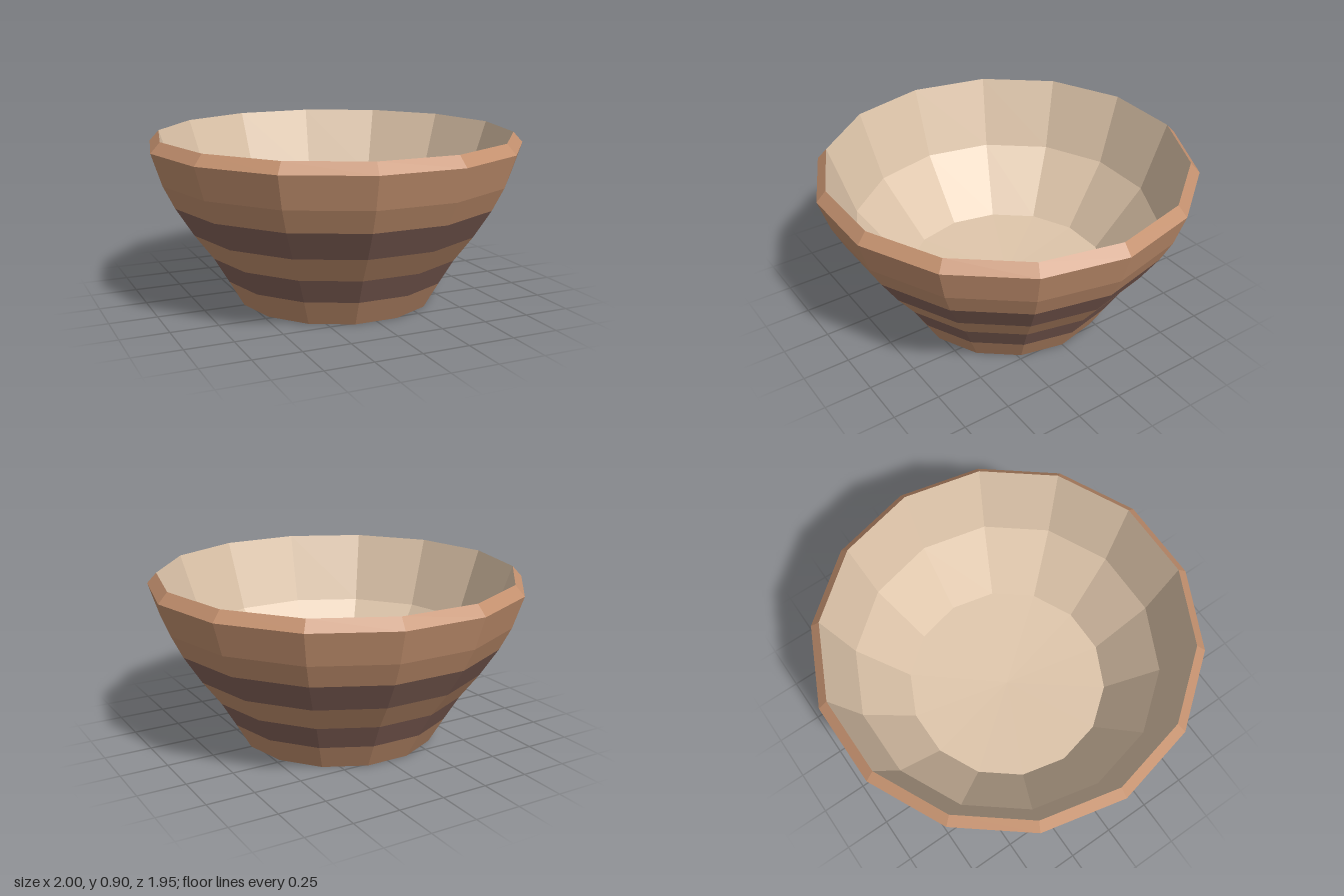
import * as THREE from 'three';

const SIDES = 14;
const clay = new THREE.MeshStandardMaterial({ color: 0xc4916f, flatShading: true });
const dark = new THREE.MeshStandardMaterial({ color: 0x86645a, flatShading: true });
const cream = new THREE.MeshStandardMaterial({ color: 0xdec5aa, flatShading: true });

// Faceted ring surface from [radius, height] points; one corner lies on +x
function turned(name, points, material) {
  const profile = points.map(([r, y]) => new THREE.Vector2(r, y));
  const mesh = new THREE.Mesh(new THREE.LatheGeometry(profile, SIDES, Math.PI / 2), material);
  mesh.name = name;
  return mesh;
}

export function createModel() {
  const bowl = new THREE.Group();
  bowl.name = 'bowl';

  // Underside and outer wall, with two dark stripes
  bowl.add(
    turned('base', [[0, 0], [0.53, 0]], clay),
    turned('lowerBand', [[0.53, 0], [0.61, 0.14]], clay),
    turned('lowerStripe', [[0.61, 0.14], [0.69, 0.275]], dark),
    turned('middleBand', [[0.69, 0.275], [0.79, 0.41]], clay),
    turned('upperStripe', [[0.79, 0.41], [0.885, 0.56]], dark),
    turned('upperBand', [[0.885, 0.56], [0.945, 0.68], [1, 0.85]], clay),
  );

  // Bevelled rim
  bowl.add(turned('rim', [[1, 0.85], [0.95, 0.905]], clay));

  // Inner wall and slightly dished floor
  bowl.add(
    turned('innerWall', [[0.95, 0.905], [0.82, 0.525], [0.555, 0.185]], cream),
    turned('floor', [[0.555, 0.185], [0, 0.16]], cream),
  );
  return bowl;
}
